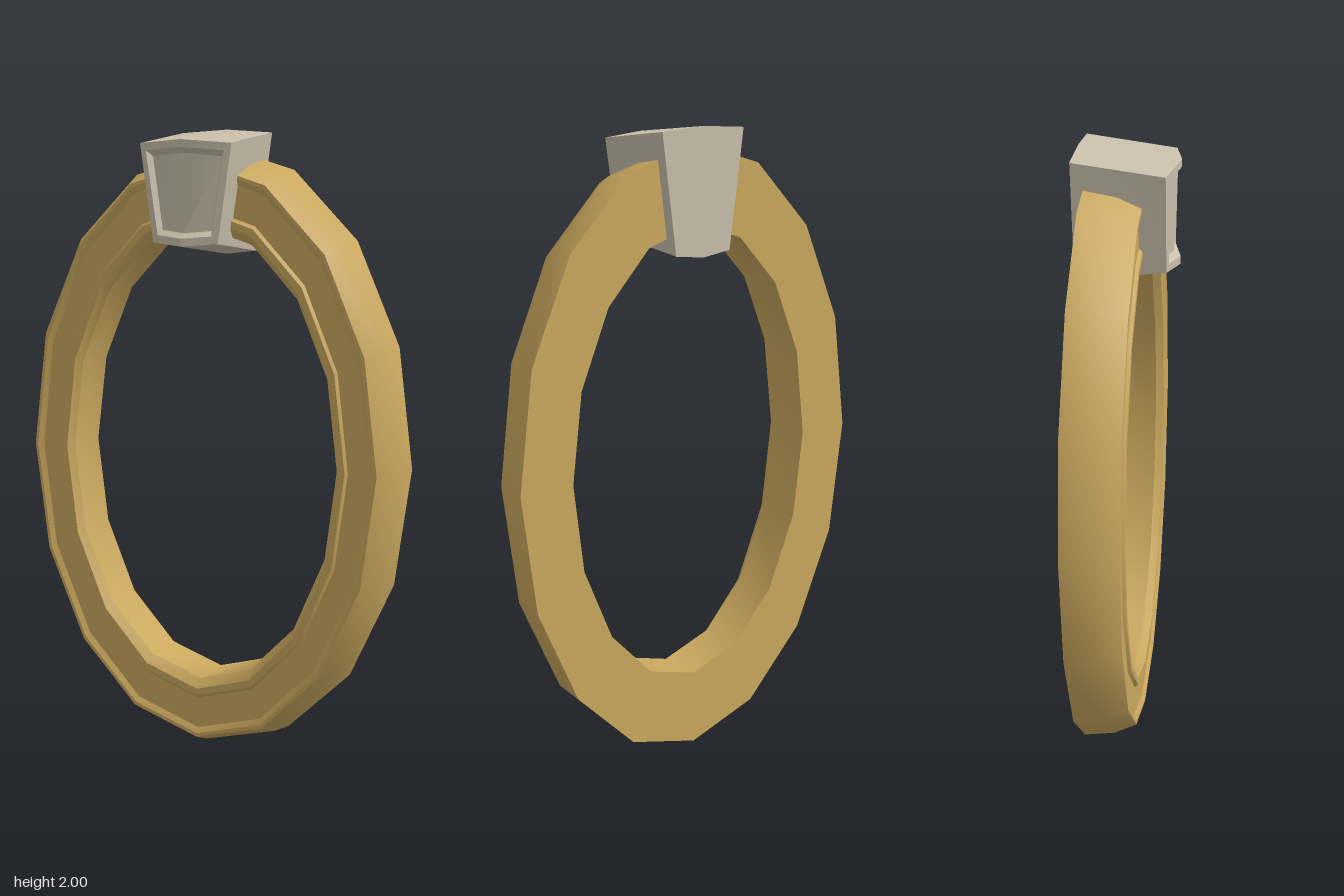
import * as THREE from 'three';
import { toCreasedNormals } from 'three/addons/utils/BufferGeometryUtils.js';

// Skin a list of closed loops; each loop is an array of [x, y, z] points.
function loft(loops, capEnds = false) {
  const n = loops[0].length;
  const index = [];
  for (let i = 0; i < loops.length - 1; i++) {
    for (let j = 0; j < n; j++) {
      const k = (j + 1) % n;
      const a = i * n + j, d = i * n + k, b = a + n, c = d + n;
      index.push(a, d, c, a, c, b);
    }
  }
  if (capEnds) {
    // Six-point loops: two quads at each end
    const e = (loops.length - 1) * n;
    for (const [p, q, r, s] of [[0, 1, 4, 5], [1, 2, 3, 4]]) {
      index.push(p, r, q, p, s, r);
      index.push(e + p, e + q, e + r, e + p, e + r, e + s);
    }
  }
  const g = new THREE.BufferGeometry();
  g.setAttribute('position', new THREE.Float32BufferAttribute(loops.flat(2), 3));
  g.setIndex(index);
  g.computeVertexNormals();
  return g;
}

// Sixteen-sided oval at depth z
const SIDES = 16, CENTRE_Y = 0.975;
function oval([rx, ry, z]) {
  return Array.from({ length: SIDES }, (_, j) => {
    const t = (j / SIDES) * Math.PI * 2;
    return [rx * Math.cos(t), CENTRE_Y + ry * Math.sin(t), z];
  });
}

// Six-point tapered outline, folded along the middle
function wedge(topHalf, bottomHalf, topY, topMidY, bottomY, bottomMidY, sideZ, midZ) {
  return [
    [-bottomHalf, bottomY, sideZ], [0, bottomMidY, midZ], [bottomHalf, bottomY, sideZ],
    [topHalf, topY, sideZ], [0, topMidY, midZ], [-topHalf, topY, sideZ],
  ];
}

export function createModel() {
  const model = new THREE.Group();
  model.name = 'ovalFrameWithKeystone';
  const gold = new THREE.MeshStandardMaterial({ color: 0xcaa85e });
  gold.name = 'gold';
  const stone = new THREE.MeshStandardMaterial({ color: 0xc9bfab });
  stone.name = 'paleStone';

  // Oval moulding: each band is smooth around the ring, with crisp edges between bands
  const outerBack = [0.66, 0.975, -0.12];
  const outerFront = [0.612, 0.927, 0.05];
  const rim = [0.602, 0.915, 0.05];
  const panelOuter = [0.585, 0.897, 0.04];
  const panelInner = [0.515, 0.795, 0.04];
  const beadOuter = [0.508, 0.785, 0.05];
  const beadInner = [0.487, 0.762, 0.05];
  const innerFront = [0.472, 0.732, 0.025];
  const innerBack = [0.472, 0.732, -0.12];
  const bands = {
    outerEdge: [outerBack, [0.658, 0.957, -0.02], outerFront],
    outerRim: [outerFront, rim],
    outerStep: [rim, panelOuter],
    recessedFace: [panelOuter, panelInner],
    innerStep: [panelInner, beadOuter],
    innerRim: [beadOuter, beadInner],
    innerBevel: [beadInner, innerFront],
    innerWall: [innerFront, innerBack],
    backFace: [innerBack, outerBack],
  };
  const moulding = new THREE.Group();
  moulding.name = 'ovalMoulding';
  for (const [name, rows] of Object.entries(bands)) {
    const mesh = new THREE.Mesh(loft(rows.map(oval)), gold);
    mesh.name = name;
    moulding.add(mesh);
  }
  model.add(moulding);

  // Keystone: tapered block with a folded front and a sunk panel
  const block = loft([
    wedge(0.158, 0.106, 1.99, 2.0, 1.623, 1.61, -0.155, -0.155),
    wedge(0.157, 0.112, 1.957, 1.968, 1.657, 1.648, 0.12, 0.15),
    wedge(0.134, 0.094, 1.935, 1.945, 1.68, 1.672, 0.125, 0.15),
    wedge(0.118, 0.085, 1.918, 1.928, 1.695, 1.688, 0.108, 0.13),
  ], true);
  const keystone = new THREE.Mesh(toCreasedNormals(block, 0.5), stone);
  keystone.name = 'keystone';
  model.add(keystone);

  return model;
}
